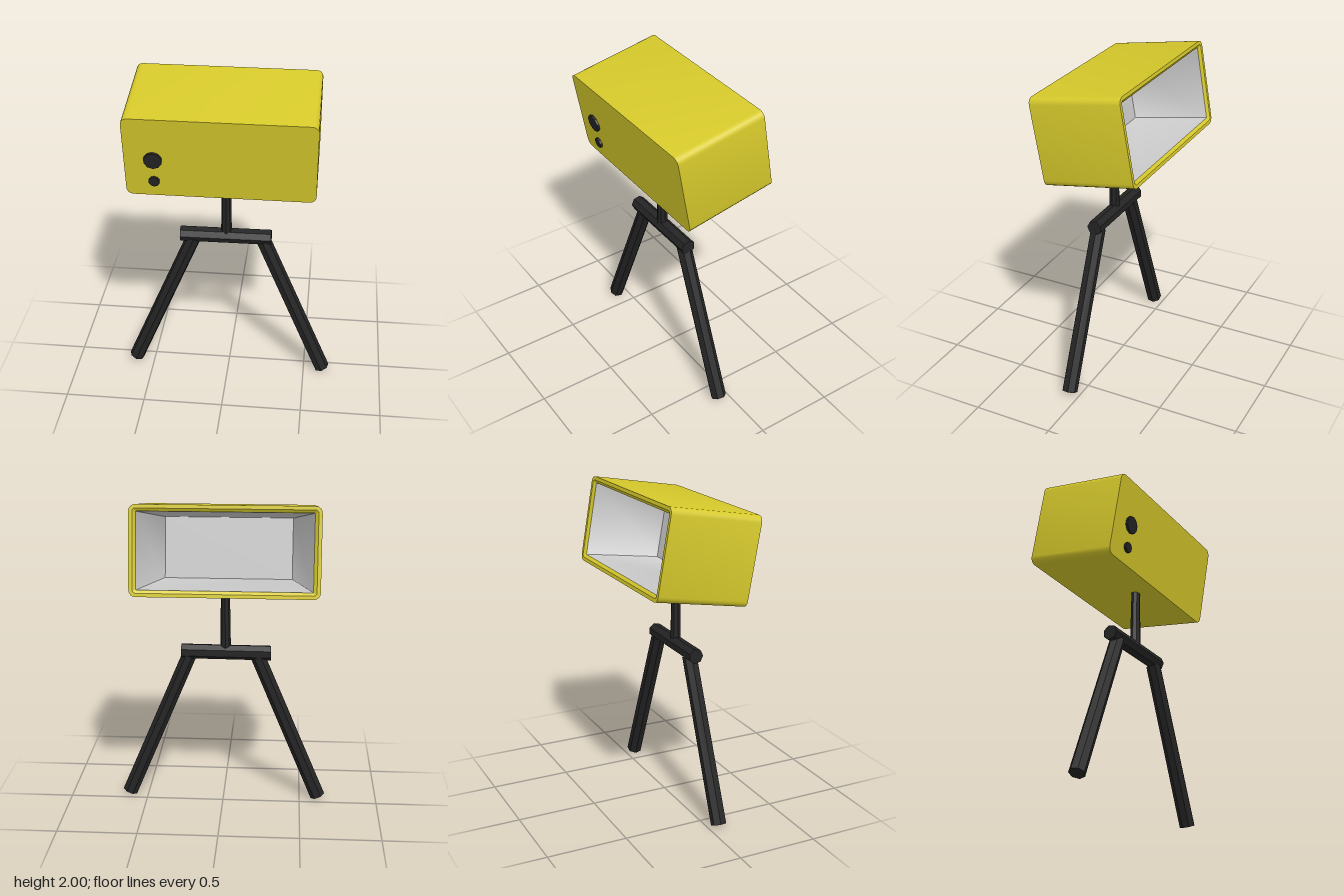
import * as THREE from 'three';
import { toCreasedNormals } from 'three/addons/utils/BufferGeometryUtils.js';

const yellow = new THREE.MeshStandardMaterial({ color: 0xd6c92b });
const black = new THREE.MeshStandardMaterial({ color: 0x242424, flatShading: true });
const grey = new THREE.MeshStandardMaterial({ color: 0xcccccc });

// Rounded rectangle of half sizes hx, hy at depth z
function ring({ hx, hy, r, z }) {
  const pts = [], steps = 4;
  [[1, 1], [-1, 1], [-1, -1], [1, -1]].forEach(([sx, sy], corner) => {
    for (let i = 0; i <= steps; i++) {
      const a = (corner + i / steps) * Math.PI / 2;
      pts.push([sx * (hx - r) + r * Math.cos(a), sy * (hy - r) + r * Math.sin(a), z]);
    }
  });
  return pts;
}

// Skin a series of rings; rings run from the front (+z) to the back
function loft(sections) {
  const rings = sections.map(ring), n = rings[0].length;
  const pos = [], index = [];
  rings.forEach((points) => points.forEach((p) => pos.push(...p)));
  for (let k = 0; k < rings.length - 1; k++) {
    for (let i = 0; i < n; i++) {
      const a = k * n + i, b = k * n + (i + 1) % n;
      index.push(a, a + n, b, b, a + n, b + n);
    }
  }
  const g = new THREE.BufferGeometry();
  g.setAttribute('position', new THREE.Float32BufferAttribute(pos, 3));
  g.setIndex(index);
  return toCreasedNormals(g, 0.6);
}

function add(parent, name, geometry, material) {
  const mesh = new THREE.Mesh(geometry, material);
  mesh.name = name;
  parent.add(mesh);
  return mesh;
}

// Faceted rod between two points
function rod(parent, name, from, to, rFrom, rTo, sides) {
  const a = new THREE.Vector3(...from), b = new THREE.Vector3(...to);
  const dir = b.clone().sub(a);
  const mesh = add(parent, name, new THREE.CylinderGeometry(rTo, rFrom, dir.length(), sides), black);
  mesh.position.copy(a).add(b).multiplyScalar(0.5);
  mesh.quaternion.setFromUnitVectors(new THREE.Vector3(0, 1, 0), dir.normalize());
}

export function createModel() {
  const model = new THREE.Group();
  model.name = 'boxOnStand';

  // Tilted box, open at the back
  const box = new THREE.Group();
  box.name = 'box';
  box.position.set(-0.027, 1.685, 0);
  box.rotation.x = THREE.MathUtils.degToRad(9.9);
  model.add(box);

  const hx = 0.5625, hy = 0.27, hz = 0.292;
  add(box, 'boxShell', loft([
    { hx: 0, hy: 0, r: 0, z: hz },
    { hx, hy, r: 0.04, z: hz },
    { hx, hy, r: 0.04, z: -hz },
    { hx: hx - 0.022, hy: hy - 0.022, r: 0.02, z: -hz },
    { hx: hx - 0.042, hy: hy - 0.04, r: 0.004, z: -hz + 0.015 },
  ]), yellow);

  // Tapering recess
  add(box, 'recess', loft([
    { hx: hx - 0.042, hy: hy - 0.04, r: 0.004, z: -hz + 0.015 },
    { hx: hx - 0.165, hy: hy - 0.08, r: 0.004, z: 0.165 },
    { hx: 0, hy: 0, r: 0, z: 0.165 },
  ]), grey);

  // Two discs on the front face
  [['largeDisc', -0.01, 0.055, 10], ['smallDisc', -0.162, 0.033, 10]].forEach(([name, y, r, sides]) => {
    const disc = add(box, name, new THREE.CylinderGeometry(r, r, 0.03, sides).rotateX(Math.PI / 2), black);
    disc.position.set(-0.391, y, hz);
  });

  // Stand
  const z = 0.067;
  rod(model, 'post', [-0.013, 1.0, 0.07], [-0.011, 1.41, 0.075], 0.034, 0.028, 8);
  rod(model, 'crossbar', [-0.3, 1.006, z], [0.267, 1.01, z], 0.048, 0.048, 7);
  for (const side of [-1, 1]) {
    rod(model, side < 0 ? 'rightLeg' : 'leftLeg',
      [side * 0.62, 0.024, z], [side * 0.217, 0.985, z], 0.049, 0.047, 7);
  }
  return model;
}
